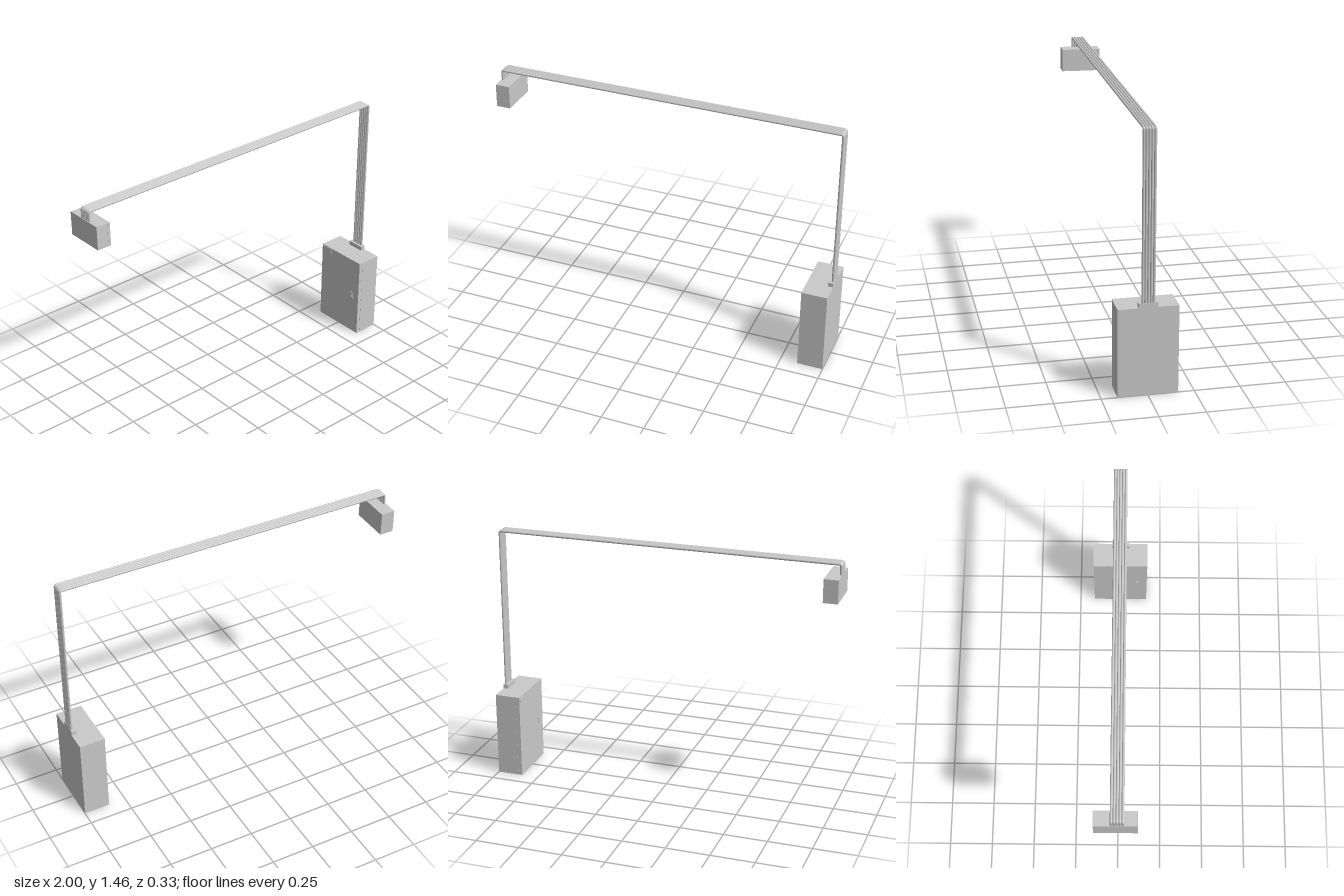
import * as THREE from 'three';

export function createModel() {
  const grey = new THREE.MeshStandardMaterial({ color: 0xcacaca });
  grey.name = 'light grey';

  const add = (parent, name, geometry, x, y, z) => {
    const mesh = new THREE.Mesh(geometry, grey);
    mesh.name = name;
    mesh.position.set(x, y, z);
    parent.add(mesh);
    return mesh;
  };
  // box given by its minimum and maximum corners
  const box = (parent, name, [x0, y0, z0], [x1, y1, z1]) =>
    add(parent, name, new THREE.BoxGeometry(x1 - x0, y1 - y0, z1 - z0),
      (x0 + x1) / 2, (y0 + y1) / 2, (z0 + z1) / 2);

  const model = new THREE.Group();
  model.name = 'conduitRun';

  // large cabinet, its door facing inwards (-x)
  const cabinet = new THREE.Group();
  cabinet.name = 'cabinet';
  model.add(cabinet);
  box(cabinet, 'cabinetBody', [0.874, 0, -0.163], [0.999, 0.495, 0.163]);
  box(cabinet, 'cabinetDoor', [0.85, 0, -0.162], [0.874, 0.495, 0.162]);
  box(cabinet, 'doorLabel', [0.847, 0.46, -0.155], [0.85, 0.49, -0.08]);
  box(cabinet, 'latchPlate', [0.847, 0.228, 0.092], [0.85, 0.272, 0.118]);
  box(cabinet, 'latchHandle', [0.845, 0.238, 0.099], [0.847, 0.262, 0.111]);
  box(cabinet, 'conduitCollar', [0.97, 0.495, -0.052], [0.999, 0.52, 0.052]);

  // small junction box, hung slightly askew, its lid facing inwards (+x)
  const junction = new THREE.Group();
  junction.name = 'junctionBox';
  junction.position.set(-0.959, 1.33, -0.009);
  junction.rotation.x = -0.017;
  model.add(junction);
  box(junction, 'junctionBody', [-0.041, -0.067, -0.114], [0.025, 0.067, 0.114]);
  box(junction, 'junctionLid', [0.025, -0.067, -0.115], [0.041, 0.067, 0.115]);

  // five touching conduits: riser, top run and drop joined by tight quarter bends
  const count = 5, r = 0.0074, bend = 0.011, endX = 0.9915, topY = 1.4545;
  const cylinder = (length) => new THREE.CylinderGeometry(r, r, length, 16);
  const elbow = new THREE.TorusGeometry(bend, r, 16, 6, Math.PI / 2);
  for (let i = 0; i < count; i++) {
    const z = (i - (count - 1) / 2) * 2 * r;
    const conduit = new THREE.Group();
    conduit.name = 'conduit' + (i + 1);
    model.add(conduit);
    const vertical = (name, x, y0) =>
      add(conduit, name, cylinder(topY - bend - y0), x, (topY - bend + y0) / 2, z);
    vertical('riser', endX, 0.5);
    vertical('drop', -endX, 1.39);
    add(conduit, 'topRun', cylinder(2 * (endX - bend)), 0, topY, z).rotation.z = Math.PI / 2;
    add(conduit, 'rightElbow', elbow, endX - bend, topY - bend, z);
    add(conduit, 'leftElbow', elbow, bend - endX, topY - bend, z).rotation.z = Math.PI / 2;
  }
  return model;
}
